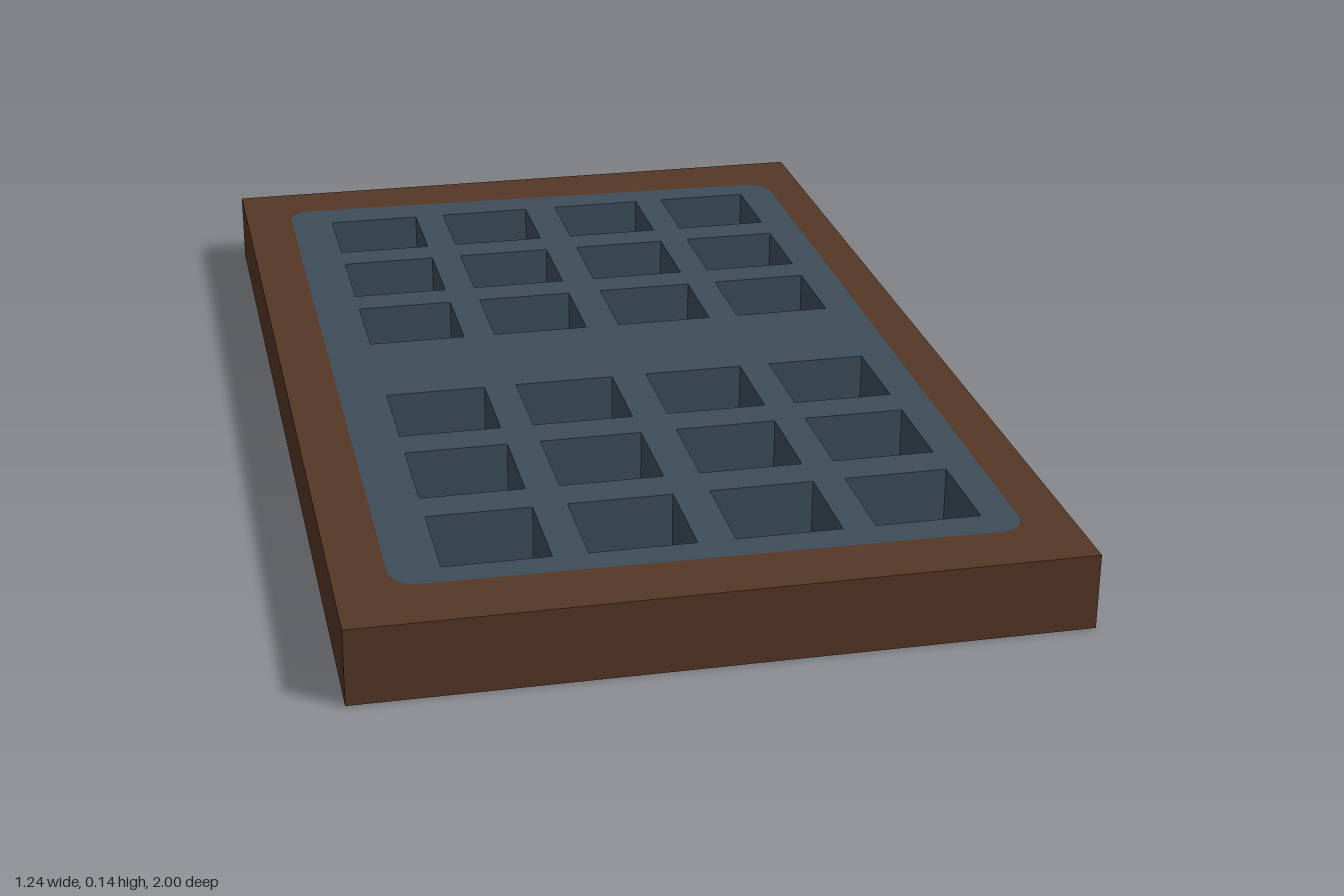
import * as THREE from 'three';

const HEIGHT = 0.135;

// Four-cornered outline in (x, z) with each corner softened by radius r
function outline(corners, r, target) {
  const pts = corners.map(([x, z]) => new THREE.Vector2(x, z));
  pts.forEach((p, i) => {
    const before = pts[(i + 3) % 4], after = pts[(i + 1) % 4];
    const a = p.clone().add(before.clone().sub(p).setLength(r));
    const b = p.clone().add(after.clone().sub(p).setLength(r));
    if (i === 0) target.moveTo(a.x, a.y);
    else target.lineTo(a.x, a.y);
    if (r > 0) target.quadraticCurveTo(p.x, p.y, b.x, b.y);
  });
  target.closePath();
  return target;
}

const rect = (x0, z0, x1, z1) => [[x0, z0], [x1, z0], [x1, z1], [x0, z1]];

// Lays an extruded (x, z) shape flat with its base on y = 0
function slab(name, shape, material) {
  const geometry = new THREE.ExtrudeGeometry(shape, { depth: HEIGHT, bevelEnabled: false, curveSegments: 5 });
  geometry.rotateX(Math.PI / 2).translate(0, HEIGHT, 0);
  const mesh = new THREE.Mesh(geometry, material);
  mesh.name = name;
  return mesh;
}

export function createModel() {
  const wood = new THREE.MeshStandardMaterial({ color: 0x553625 });
  wood.name = 'brown wood';
  const iron = new THREE.MeshStandardMaterial({ color: 0x3e4d5a });
  iron.name = 'slate iron';

  // Slightly uneven edge where the grate meets the frame
  const seam = [[-0.525, -0.888], [0.546, -0.862], [0.535, 0.889], [-0.528, 0.874]];

  // Wooden surround
  const frameShape = outline(rect(-0.62, -1, 0.62, 1), 0, new THREE.Shape());
  frameShape.holes.push(outline(seam, 0.055, new THREE.Path()));

  // Grate with two banks of three rows of square openings
  const grateShape = outline(seam, 0.055, new THREE.Shape());
  const columns = [-0.44, -0.197, 0.051, 0.291];
  const rows = [-0.804, -0.551, -0.299, 0.132, 0.386, 0.641];
  const size = 0.183;
  for (const x of columns) {
    for (const z of rows) {
      grateShape.holes.push(outline(rect(x, z, x + size, z + size), 0, new THREE.Path()));
    }
  }

  const group = new THREE.Group();
  group.name = 'framedGrate';
  group.add(slab('frame', frameShape, wood), slab('grate', grateShape, iron));
  return group;
}
